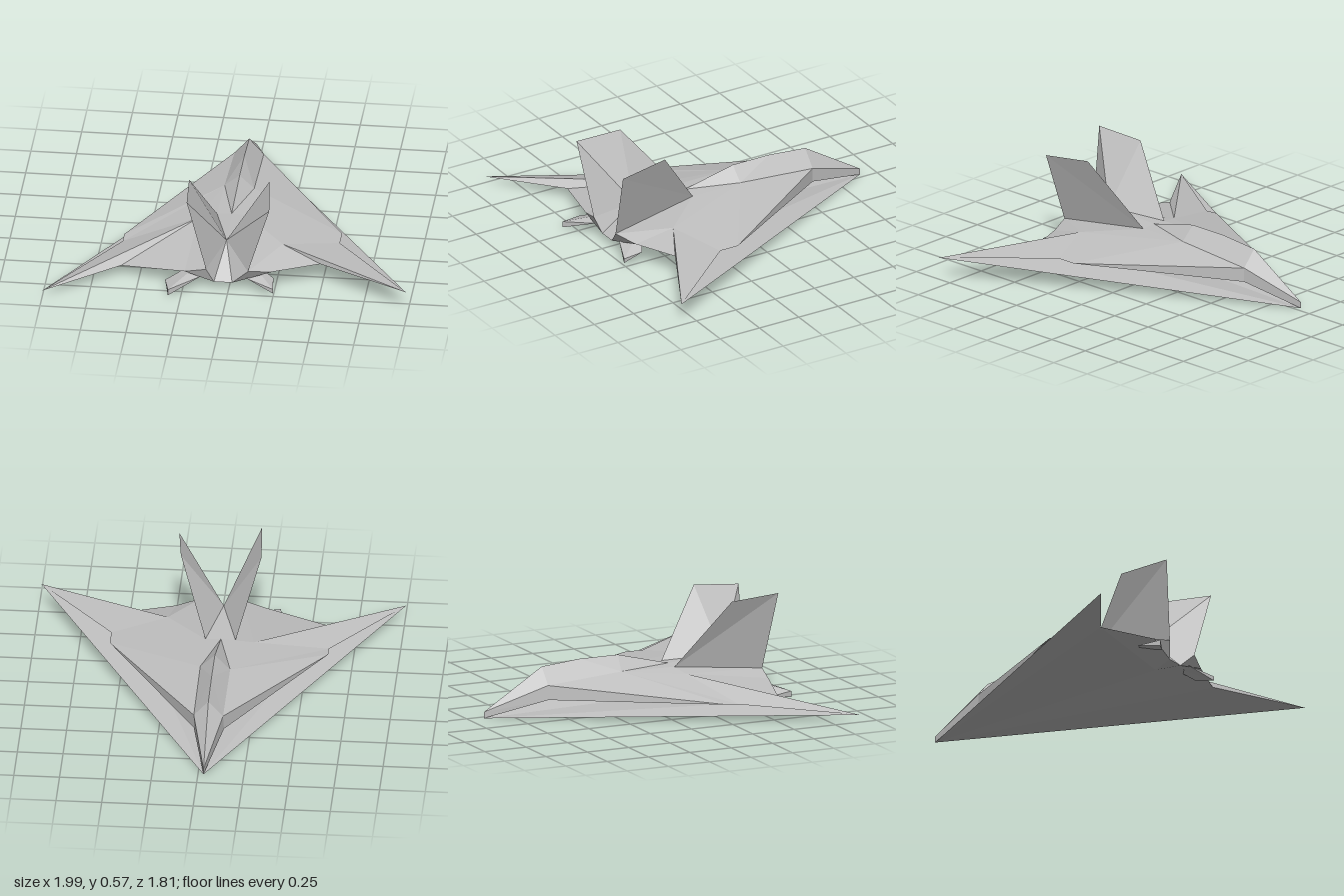
import * as THREE from 'three';

export function createModel() {
  const model = new THREE.Group();
  const hull = new THREE.MeshStandardMaterial({ color: 0xc0c0c0, flatShading: true, side: THREE.DoubleSide });

  // Builds a faceted part from convex polygons, each split as a fan from its first corner
  function part(name, polygons) {
    const pos = [];
    for (const p of polygons) {
      for (let i = 1; i < p.length - 1; i++) pos.push(...p[0], ...p[i], ...p[i + 1]);
    }
    const g = new THREE.BufferGeometry();
    g.setAttribute('position', new THREE.Float32BufferAttribute(pos, 3));
    g.computeVertexNormals();
    const mesh = new THREE.Mesh(g, hull);
    mesh.name = name;
    model.add(mesh);
  }

  // Centreline points
  const noseLow = [-0.03, 0.005, -0.91];
  const noseTop = [-0.03, 0.04, -0.91];
  const spine = [
    [-0.03, 0.26, -0.56], [-0.03, 0.28, -0.33], [-0.03, 0.28, -0.1], [-0.04, 0.205, 0.2],
  ];
  const apex = [-0.03, 0.22, 0.53];
  const keel = [-0.03, 0.04, 0.57];
  const rearMid = [-0.03, 0.05, 0.7];

  // The two halves differ slightly, so each has its own corner points
  const sides = [
    {
      label: 'right',
      shoulder: [[-0.11, 0.17, -0.56], [-0.115, 0.205, -0.12], [-0.12, 0.2, 0.2]],
      lip: [[-0.115, 0.09, -0.56], [-0.62, 0.085, 0.28], [-0.62, 0.08, 0.35]],
      ridge: [-0.22, 0.18, 0.22], tip: [-1, 0.045, 0.9], trail: [-0.6, 0.07, 0.61],
      rearOut: [-0.24, 0.11, 0.71], rearIn: [-0.12, 0.14, 0.73], rearLow: [-0.08, 0.05, 0.7],
      finLead: [-0.24, 0.56, 0.49], finTrail: [-0.22, 0.575, 0.78],
      tail: [[-0.12, 0.13, 0.54], [-0.35, 0.035, 0.68], [-0.32, 0.045, 0.81], [-0.32, 0.01, 0.81], [-0.15, 0.08, 0.7]],
    },
    {
      label: 'left',
      shoulder: [[0.05, 0.17, -0.56], [0.05, 0.205, -0.1], [0.045, 0.2, 0.2]],
      lip: [[0.05, 0.09, -0.56], [0.57, 0.135, 0.23], [0.57, 0.135, 0.34]],
      ridge: [0.27, 0.175, 0.46], tip: [0.99, 0.125, 0.84], trail: [0.49, 0.13, 0.58],
      rearOut: [0.24, 0.12, 0.68], rearIn: [0.11, 0.14, 0.73], rearLow: [0.02, 0.05, 0.7],
      finLead: [0.2, 0.565, 0.47], finTrail: [0.23, 0.535, 0.755],
      tail: [[0.08, 0.13, 0.54], [0.24, 0.06, 0.64], [0.25, 0.055, 0.76], [0.25, 0.03, 0.76], [0.1, 0.08, 0.7]],
    },
  ];

  for (const s of sides) {
    const [s0, s1, s2] = s.shoulder;
    const [l0, l1, l2] = s.lip;

    // Canopy and nose, sloping from the spine down to the shoulder
    part(s.label + 'Fuselage', [
      [noseTop, spine[0], s0], [noseTop, s0, l0], [noseTop, l0, noseLow],
      [s0, spine[0], spine[1]], [s0, spine[1], s1], [s1, spine[1], spine[2]],
      [s1, spine[2], spine[3]], [s1, spine[3], s2], [s2, spine[3], apex],
    ]);

    // Upper wing, raised along its lip above the thin delta
    part(s.label + 'UpperWing', [
      [s0, l0, l1], [s0, l1, s1], [s1, l1, l2], [s1, l2, s.ridge], [s1, s.ridge, s2],
      [s.ridge, l2, s.tip], [s.ridge, s.tip, s.trail],
      [s2, s.ridge, s.rearIn], [s.ridge, s.trail, s.rearOut], [s.ridge, s.rearOut, s.rearIn],
    ]);

    // Flat delta underside
    part(s.label + 'Delta', [
      [noseLow, s.tip, s.trail], [noseLow, s.trail, keel],
      [keel, s.trail, s.rearOut], [keel, s.rearOut, s.rearLow], [keel, s.rearLow, rearMid],
    ]);

    // Faceted tail block
    part(s.label + 'TailBlock', [
      [apex, s.rearIn, s.rearLow], [apex, s.rearLow, rearMid],
      [s.rearIn, s.rearOut, s.rearLow],
    ]);

    // Canted wedge-shaped fin
    part(s.label + 'Fin', [
      [s2, s.finLead, s.finTrail, s.rearIn],
      [s2, apex, s.finLead], [apex, s.finTrail, s.finLead],
      [apex, s.rearIn, s.finTrail],
    ]);

    // Small drooping tailplane
    const [root, lead, top, low, inner] = s.tail;
    part(s.label + 'Tailplane', [
      [root, lead, top], [root, top, inner], [lead, low, top],
      [root, low, lead], [root, inner, low], [inner, top, low],
    ]);
  }
  return model;
}
